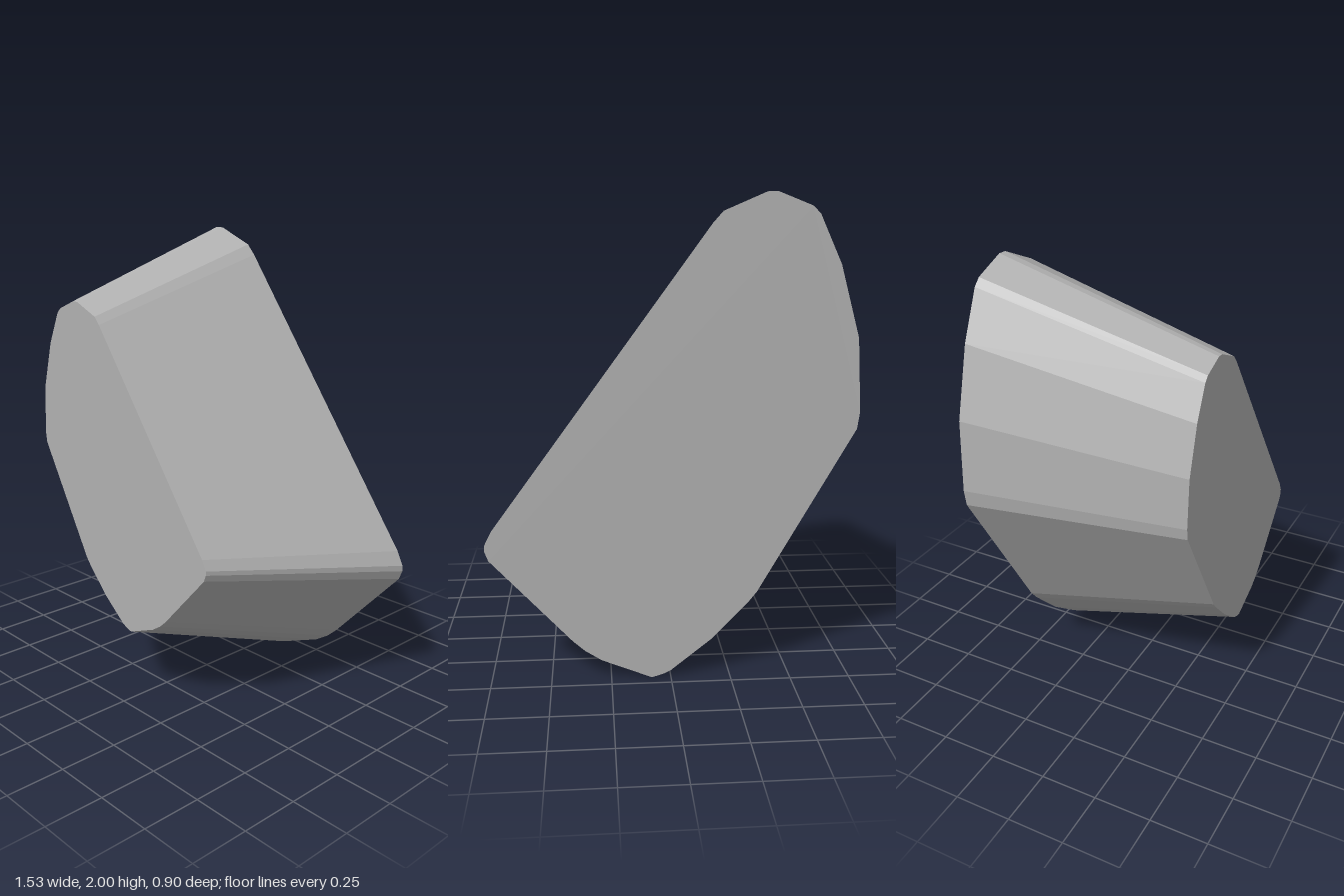
import * as THREE from 'three';

// Faceted outline of the large rear face, counter-clockwise from the lowest corner
const OUTLINE = [
  [0.08, 0], [0.29, 0.085], [0.36, 0.13], [0.41, 0.175], [0.745, 0.535], [0.76, 0.575],
  [0.76, 0.6], [0.73, 0.66], [-0.16, 1.88], [-0.2, 1.925], [-0.37, 1.998], [-0.41, 2],
  [-0.55, 1.945], [-0.58, 1.915], [-0.67, 1.72], [-0.75, 1.43], [-0.767, 1.13],
  [-0.757, 1.06], [-0.36, 0.37], [-0.32, 0.32], [-0.17, 0.165], [0, 0.03], [0.03, 0.015],
];

const DEPTH = 0.9;
const TAPER = 0.7; // size of the front face relative to the rear face

export function createModel() {
  const group = new THREE.Group();
  group.name = 'taperedBlock';

  const material = new THREE.MeshStandardMaterial({ color: 0xb0b0b0, flatShading: true });
  material.name = 'grey';

  const shape = new THREE.Shape(OUTLINE.map(([x, y]) => new THREE.Vector2(x, y)));
  const geometry = new THREE.ExtrudeGeometry(shape, { depth: DEPTH, bevelEnabled: false });
  geometry.translate(0, 0, -DEPTH / 2);

  // Shrink the front outline towards its slightly offset centre
  const p = geometry.attributes.position;
  for (let i = 0; i < p.count; i++) {
    if (p.getZ(i) > 0) {
      p.setXY(i, p.getX(i) * TAPER - 0.057, p.getY(i) * TAPER + 0.317);
    }
  }
  geometry.computeVertexNormals();

  const block = new THREE.Mesh(geometry, material);
  block.name = 'block';
  group.add(block);
  return group;
}
